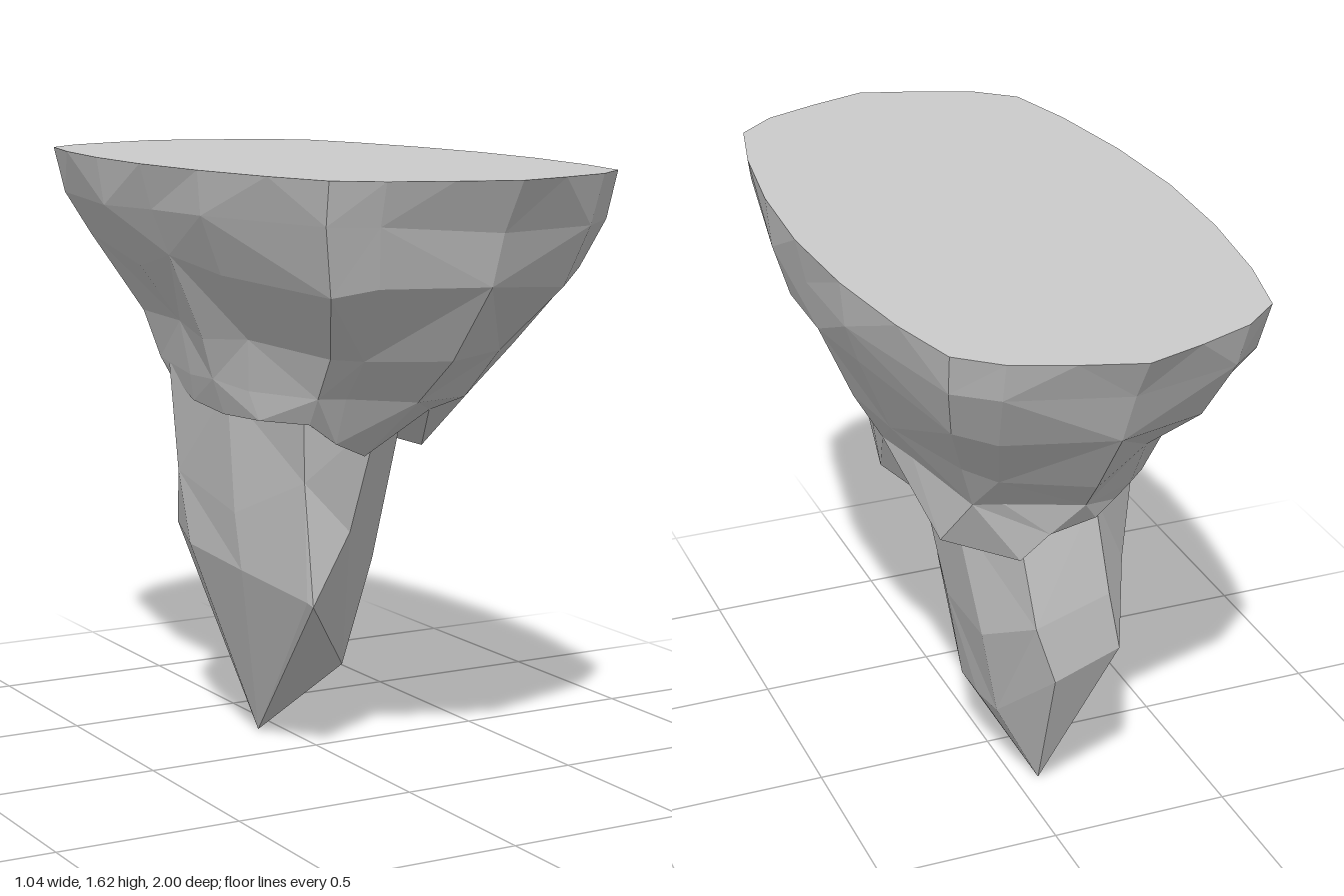
import * as THREE from 'three';

// One quarter of the plan outline, from front tip to side, in units of half width and half length
const QUARTER = [[0, 1], [0.3, 0.95], [0.59, 0.89], [0.79, 0.8], [0.89, 0.59], [0.97, 0.3], [1, 0]];
const HALF = [...QUARTER, ...QUARTER.slice(0, 6).reverse().map(([x, z]) => [x, -z])];

// Full outline of 24 points, running from the front round to +x, the back and -x
const OUTLINE = [...HALF, ...HALF.slice(1, -1).reverse().map(([x, z]) => [-x, z])];

// Outline points that carry on down the rock as its 16 main edges
const COLUMNS = [0, 2, 3, 5, 6, 7, 9, 10, 12, 14, 15, 17, 18, 19, 21, 22];
const TOP = 1.62;

// Sections of the upper rock: y, xMin, xMax, zMin, zMax, x of the ridge, corner fullness, roughness
const SECTIONS = [
  [1.5, -0.485, 0.495, -0.93, 0.92, 0, 1.03, 0.01],
  [1.36, -0.44, 0.465, -0.86, 0.87, 0, 0.98, 0.03],
  [1.17, -0.345, 0.375, -0.7, 0.71, -0.01, 0.95, 0.02],
  [1.04, -0.31, 0.3, -0.59, 0.58, -0.03, 0.96, 0.01],
];

// Uneven lower edge of the upper rock
const LEDGE = [
  [-0.08, 0.88, 0.4], [0.07, 1.0, 0.47], [0.17, 0.87, 0.27], [0.25, 0.86, 0.16],
  [0.24, 0.91, -0.12], [0.25, 0.86, -0.3], [0.1, 0.86, -0.48], [0.04, 0.95, -0.53],
  [-0.08, 0.98, -0.54], [-0.15, 1.0, -0.5], [-0.24, 1.0, -0.4], [-0.27, 0.96, -0.2],
  [-0.28, 0.95, 0], [-0.28, 0.96, 0.2], [-0.23, 0.97, 0.38], [-0.17, 0.92, 0.41],
];

// Sections of the lower spike, from the same start and in the same direction
const SPIKE = [
  [
    [-0.05, 0.98, 0.42], [0.06, 1.05, 0.38], [0.2, 0.92, 0], [0.2, 0.92, -0.27], [0.1, 0.93, -0.47],
    [-0.08, 1.04, -0.53], [-0.26, 1.04, -0.37], [-0.28, 1.02, 0.02], [-0.22, 1.0, 0.33],
  ],
  [
    [-0.06, 0.66, 0.29], [0.09, 0.55, 0.15], [0.14, 0.55, -0.05], [0.135, 0.55, -0.3], [0.05, 0.64, -0.47],
    [-0.13, 0.74, -0.525], [-0.24, 0.74, -0.36], [-0.25, 0.68, 0], [-0.19, 0.8, 0.28],
  ],
  [
    [-0.15, 0.46, 0.255], [0.065, 0.23, 0.03], [0.07, 0.24, -0.1], [0.06, 0.25, -0.22], [-0.01, 0.46, -0.46],
    [-0.17, 0.56, -0.51], [-0.235, 0.54, -0.3], [-0.23, 0.52, 0], [-0.16, 0.47, 0.24],
  ],
];

// Repeatable roughness from -1 to 1
function rough(n) {
  const s = Math.sin(n * 127.1 + 3.7) * 43758.5453;
  return (s - Math.floor(s)) * 2 - 1;
}

// Ring of points for one section of the upper rock
function sectionRing([y, x0, x1, z0, z1, ridge, full, amount], level) {
  return COLUMNS.map((c, i) => {
    const [u, v] = OUTLINE[c];
    const k = i % 4 === 0 ? 1 : full + rough(level * 17 + i) * amount;
    return [
      ridge + u * k * (u > 0 ? x1 - ridge : ridge - x0),
      y + rough(level * 31 + i + 5) * amount,
      (z0 + z1) / 2 + (v * k * (z1 - z0)) / 2,
    ];
  });
}

// Facets between two rings of equal length, with alternating diagonals
function bridge(upper, lower, level, tri) {
  upper.forEach((a, i) => {
    const j = (i + 1) % upper.length;
    const [b, c, d] = [upper[j], lower[i], lower[j]];
    if ((level + i) % 2) {
      tri(a, c, d);
      tri(a, d, b);
    } else {
      tri(a, c, b);
      tri(b, c, d);
    }
  });
}

// Closes a ring downwards to one point
function closeBelow(ring, tip, tri) {
  ring.forEach((p, i) => tri(p, tip, ring[(i + 1) % ring.length]));
}

function buildMesh(name, material, fill) {
  const pos = [];
  fill((a, b, c) => pos.push(...a, ...b, ...c));
  const geo = new THREE.BufferGeometry();
  geo.setAttribute('position', new THREE.Float32BufferAttribute(pos, 3));
  geo.computeVertexNormals();
  const mesh = new THREE.Mesh(geo, material);
  mesh.name = name;
  return mesh;
}

export function createModel() {
  const group = new THREE.Group();
  group.name = 'floatingRock';
  const material = new THREE.MeshStandardMaterial({ color: 0xcccccc, flatShading: true });

  // Wide upper rock, overhanging the spike in a ledge on +x
  const upperRock = buildMesh('upperRock', material, (tri) => {
    const rim = OUTLINE.map(([u, v]) => [u * 0.52, TOP, v]);
    const rings = [...SECTIONS.map(sectionRing), LEDGE];
    COLUMNS.forEach((c, k) => {
      const next = COLUMNS[(k + 1) % 16] || 24;
      const [p, q] = [rings[0][k], rings[0][(k + 1) % 16]];
      tri(rim[c], p, rim[c + 1]);
      tri(rim[c + 1], p, q);
      if (next - c === 2) tri(rim[c + 1], q, rim[next % 24]);
    });
    rings.slice(1).forEach((ring, i) => bridge(rings[i], ring, i, tri));
    closeBelow(LEDGE, [-0.05, 0.94, -0.1], tri);
  });

  // Narrow spike leaning to its point, its upper end sunk into the rock
  const spike = buildMesh('lowerSpike', material, (tri) => {
    SPIKE.slice(1).forEach((ring, i) => bridge(SPIKE[i], ring, i, tri));
    closeBelow(SPIKE[2], [-0.065, 0, -0.22], tri);
  });

  // Flat ground on top
  const shape = new THREE.Shape(OUTLINE.map(([u, v]) => new THREE.Vector2(u * 0.52, -v)));
  const ground = new THREE.Mesh(new THREE.ShapeGeometry(shape).rotateX(-Math.PI / 2), material);
  ground.name = 'flatTop';
  ground.position.y = TOP;

  group.add(upperRock, spike, ground);
  return group;
}
